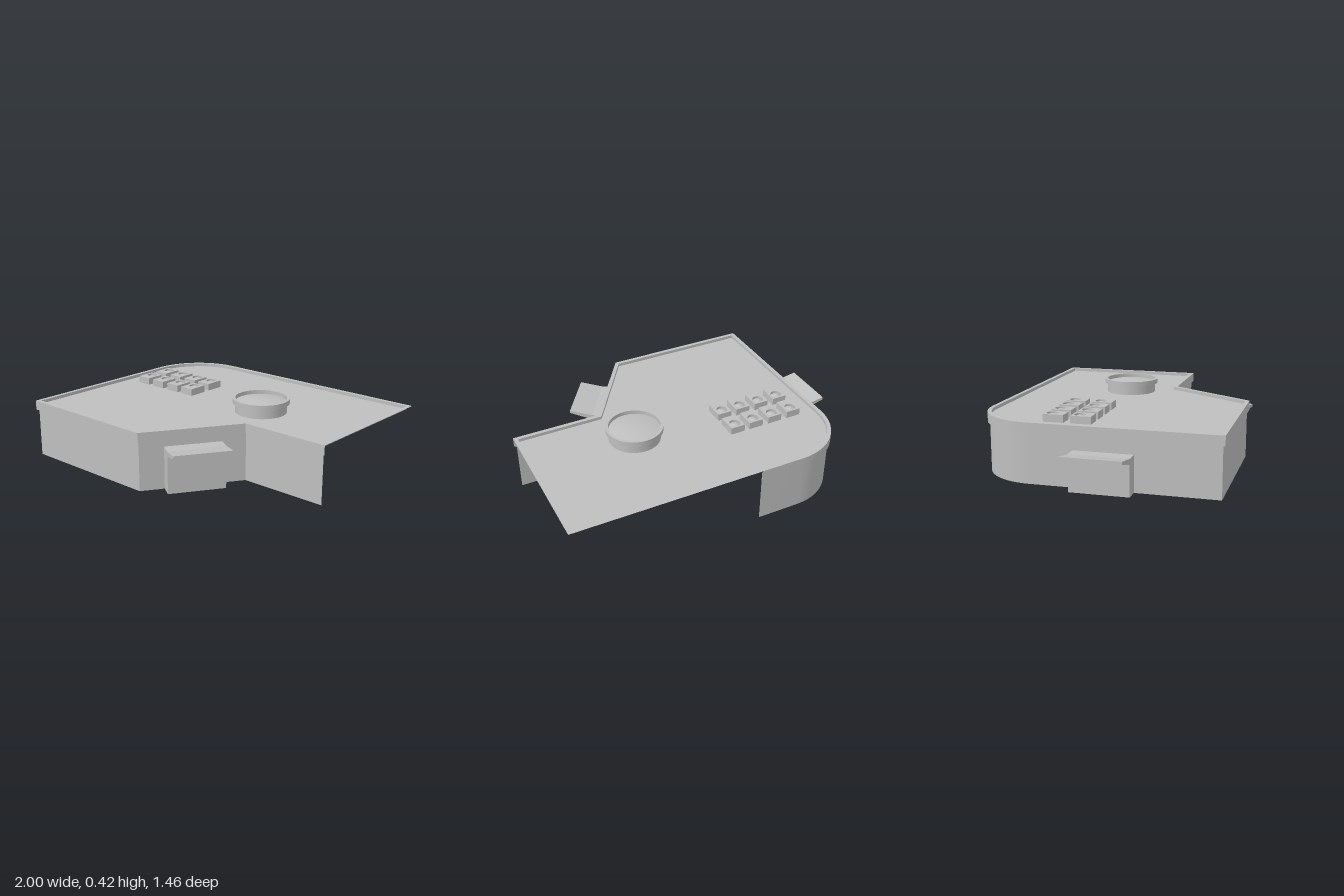
import * as THREE from 'three';
import { toCreasedNormals } from 'three/addons/utils/BufferGeometryUtils.js';

const grey = new THREE.MeshStandardMaterial({ color: 0xbfbfbf, side: THREE.DoubleSide });
grey.name = 'light grey';

const part = (name, geometry, parent) => {
  const mesh = new THREE.Mesh(geometry, grey);
  mesh.name = name;
  parent.add(mesh);
  return mesh;
};

// Footprint inset by d, as [x, z] points; the first edge is the open part of the back
function outline(d) {
  const pts = [[1 - d, -0.73 + d], [-0.16, -0.73 + d]];
  for (let i = 0; i <= 14; i++) {
    const a = (i / 14) * Math.PI / 2, r = 0.36 - d;
    pts.push([-0.43 - r * Math.sin(a), -0.37 - r * Math.cos(a)]);
  }
  const diagonalX = z => 0.46 - d / 0.839 - (z - 0.2) * 0.647;
  pts.push([-0.79 + d, 0.725 - d]);
  pts.push([diagonalX(0.725 - d), 0.725 - d]);
  pts.push([diagonalX(0.2 - d), 0.2 - d]);
  pts.push([1 - d, 0.2 - d]);
  return pts;
}

// Strip of quads between two paths at two heights
function ribbon(a, ya, b, yb, closed) {
  const pos = [];
  const n = closed ? a.length : a.length - 1;
  for (let i = 0; i < n; i++) {
    const j = (i + 1) % a.length;
    const p = [a[i][0], ya, a[i][1]], q = [a[j][0], ya, a[j][1]];
    const r = [b[j][0], yb, b[j][1]], s = [b[i][0], yb, b[i][1]];
    pos.push(...p, ...q, ...r, ...p, ...r, ...s);
  }
  const geo = new THREE.BufferGeometry();
  geo.setAttribute('position', new THREE.Float32BufferAttribute(pos, 3));
  geo.computeVertexNormals();
  return toCreasedNormals(geo, 0.5);
}

// Porch with a block and a kinked canopy, reaching out along its own +x
function porch(name, x, z, angle, width, rise, parent) {
  const group = new THREE.Group();
  group.name = name;
  const height = 0.18 + rise;
  const block = part('porchBlock', new THREE.BoxGeometry(0.085, height, width), group);
  block.position.set(0.0275, height / 2, 0);
  const profile = new THREE.Shape([
    [-0.012, 0.18], [0.07, 0.18], [0.21, 0.218], [0.21, 0.235], [0.07, 0.212], [-0.012, 0.212],
  ].map(([u, v]) => new THREE.Vector2(u, v + rise)));
  const canopy = new THREE.ExtrudeGeometry(profile, { depth: width, bevelEnabled: false });
  part('porchCanopy', canopy.translate(0, 0, -width / 2), group);
  group.position.set(x, 0, z);
  group.rotation.y = angle;
  parent.add(group);
}

// Shallow domed disc lying in a recess
function cap(radius, edgeY, topY) {
  const pts = [];
  for (let i = 0; i <= 6; i++) {
    const t = i / 6;
    pts.push(new THREE.Vector2(radius * (1 - t), edgeY + (topY - edgeY) * (1 - (1 - t) ** 2)));
  }
  return new THREE.LatheGeometry(pts, 32);
}

export function createModel() {
  const model = new THREE.Group();
  model.name = 'building';
  const outer = outline(0), wall = outline(0.013), inner = outline(0.024);

  // Walls and parapet skirt leave the right side and most of the back open
  part('walls', ribbon(wall.slice(1), 0, wall.slice(1), 0.335, false), model);
  part('parapetSkirt', ribbon(outer.slice(1), 0.295, outer.slice(1), 0.353, false), model);
  part('parapetSoffit', ribbon(wall.slice(1), 0.295, outer.slice(1), 0.295, false), model);
  part('parapetTop', ribbon(outer, 0.353, inner, 0.353, true), model);
  part('parapetInside', ribbon(inner, 0.353, inner, 0.333, true), model);

  // Flat roof
  const roof = new THREE.Shape(inner.map(([x, z]) => new THREE.Vector2(x, -z)));
  part('roof', new THREE.ShapeGeometry(roof).rotateX(-Math.PI / 2).translate(0, 0.333, 0), model);

  // Porches on the side and on the diagonal wall
  porch('sidePorch', -0.79, 0.0625, Math.PI, 0.345, 0, model);
  porch('diagonalPorch', 0.295, 0.455, -Math.atan2(0.543, 0.839), 0.34, 0.043, model);

  // Round skylight: drum, projecting rim and lens
  const skylight = new THREE.Group();
  skylight.name = 'skylight';
  skylight.position.set(0.342, 0, -0.087);
  const drum = [[0.156, 0.333], [0.156, 0.39], [0.172, 0.39], [0.172, 0.42], [0.155, 0.42], [0.155, 0.395]]
    .map(([r, y]) => new THREE.Vector2(r, y));
  part('skylightDrum', toCreasedNormals(new THREE.LatheGeometry(drum, 40), 0.5), skylight);
  part('skylightLens', cap(0.155, 0.396, 0.415), skylight);
  model.add(skylight);

  // Two rows of roof vents, each a block with a round opening
  const block = new THREE.Shape([[-0.046, -0.06], [0.046, -0.06], [0.046, 0.06], [-0.046, 0.06]]
    .map(([x, y]) => new THREE.Vector2(x, y)));
  const hole = new THREE.Path();
  hole.absarc(0, 0.018, 0.033, 0, Math.PI * 2, true);
  block.holes.push(hole);
  const blockGeo = new THREE.ExtrudeGeometry(block, { depth: 0.045, bevelEnabled: false, curveSegments: 20 });
  blockGeo.rotateX(-Math.PI / 2);
  const fanGeo = cap(0.033, 0.03, 0.042).translate(0, 0, -0.018);
  for (const z of [-0.262, -0.1]) {
    for (const x of [-0.62, -0.488, -0.357, -0.231]) {
      const vent = new THREE.Group();
      vent.name = 'roofVent';
      vent.position.set(x, 0.332, z);
      part('ventBlock', blockGeo, vent);
      part('ventFan', fanGeo, vent);
      model.add(vent);
    }
  }
  return model;
}
